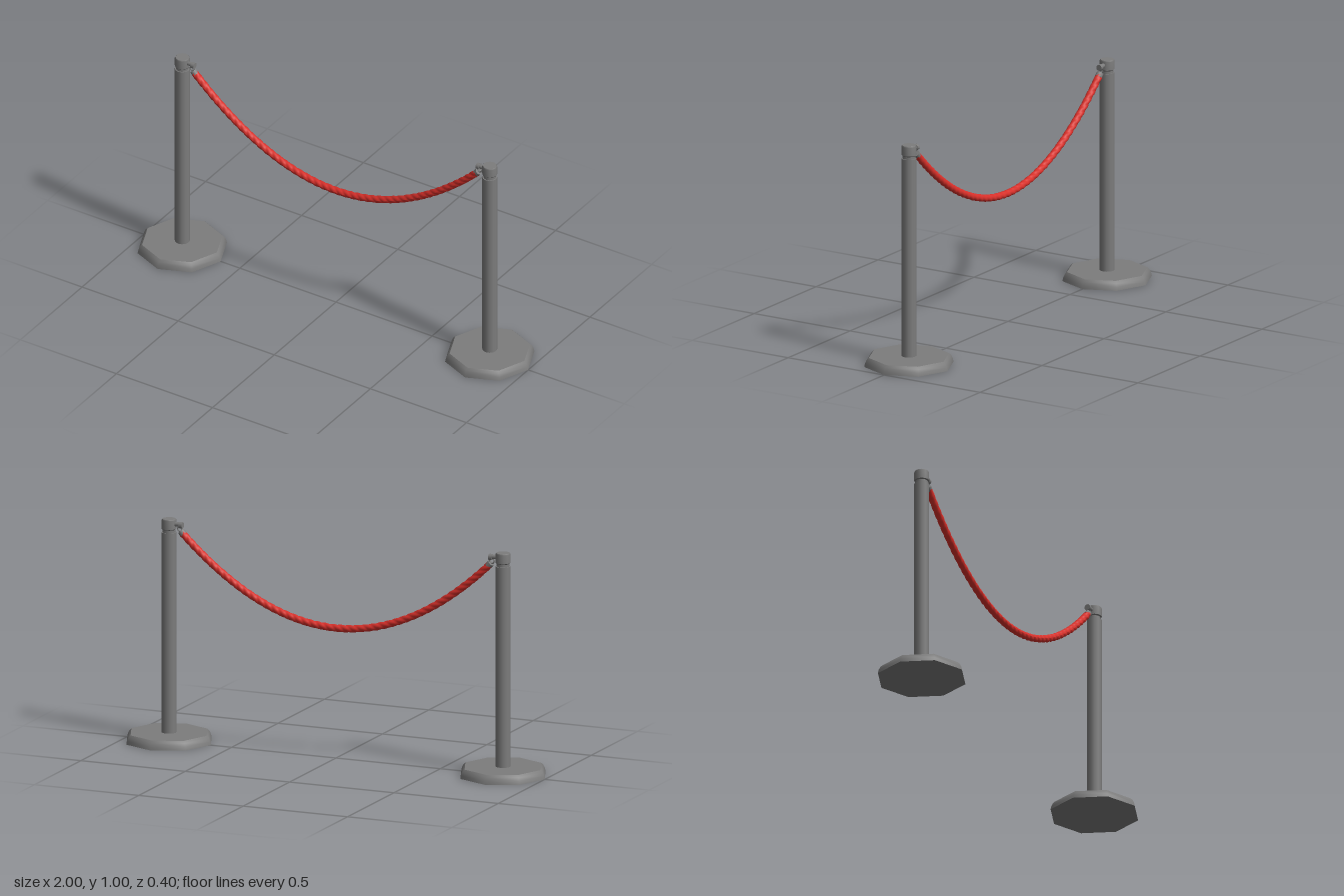
import * as THREE from 'three';

const metal = new THREE.MeshStandardMaterial({ color: 0x7c7c7c });
metal.name = 'grey metal';
const red = new THREE.MeshStandardMaterial({ color: 0xd8302a });
red.name = 'red rope';

function add(parent, name, geometry, material, x = 0, y = 0, rotZ = 0) {
  const mesh = new THREE.Mesh(geometry, material);
  mesh.name = name;
  mesh.position.set(x, y, 0);
  mesh.rotation.z = rotZ;
  parent.add(mesh);
  return mesh;
}

// Turned part; repeating a profile point keeps that edge sharp
function lathe(points, sides) {
  return new THREE.LatheGeometry(points.map(([r, y]) => new THREE.Vector2(r, y)), sides);
}

// One stanchion, with its arm pointing to +x
function stanchion() {
  const g = new THREE.Group();
  g.name = 'stanchion';
  add(g, 'base', lathe([[0, 0], [0.2, 0], [0.2, 0], [0.197, 0.015], [0.19, 0.03], [0.18, 0.04], [0.18, 0.04], [0, 0.04]], 8), metal);
  add(g, 'post', new THREE.CylinderGeometry(0.033, 0.033, 0.9, 12), metal, 0, 0.49);
  add(g, 'neck', new THREE.CylinderGeometry(0.028, 0.028, 0.014, 12), metal, 0, 0.946);
  add(g, 'cap', lathe([[0, 0.952], [0.029, 0.952], [0.033, 0.956], [0.033, 0.956], [0.033, 0.995], [0.03, 1], [0.03, 1], [0, 1]], 12), metal);
  // Arm, hook and rope ferrule
  add(g, 'arm', new THREE.CylinderGeometry(0.01, 0.01, 0.03, 10), metal, 0.04, 0.978, Math.PI / 2);
  add(g, 'armEnd', new THREE.CylinderGeometry(0.014, 0.014, 0.016, 10), metal, 0.058, 0.976, Math.PI / 2);
  add(g, 'hook', new THREE.TorusGeometry(0.011, 0.0035, 6, 14), metal, 0.053, 0.959);
  add(g, 'ferrule', new THREE.CylinderGeometry(0.016, 0.016, 0.02, 12), metal, 0.064, 0.942, Math.PI / 4);
  return g;
}

// Hanging rope with a three-strand twist
function ropeGeometry() {
  const half = 0.735, points = [];
  for (let i = 0; i <= 24; i++) {
    const x = -half + (2 * half * i) / 24;
    points.push(new THREE.Vector3(x, 0.585 + 0.355 * (x / half) ** 2, 0));
  }
  const curve = new THREE.CatmullRomCurve3(points);
  const rows = 320, sides = 15;
  const geo = new THREE.TubeGeometry(curve, rows, 0.016, sides);
  const pos = geo.attributes.position;
  const p = new THREE.Vector3();
  for (let i = 0; i <= rows; i++) {
    const centre = curve.getPointAt(i / rows);
    for (let j = 0; j <= sides; j++) {
      const k = i * (sides + 1) + j;
      const phase = 3 * (j / sides) * Math.PI * 2 + (i / rows) * Math.PI * 2 * 44;
      const scale = 0.88 + 0.16 * Math.abs(Math.cos(phase / 2));
      p.fromBufferAttribute(pos, k).sub(centre).multiplyScalar(scale).add(centre);
      pos.setXYZ(k, p.x, p.y, p.z);
    }
  }
  geo.computeVertexNormals();
  return geo;
}

export function createModel() {
  const model = new THREE.Group();
  model.name = 'ropeBarrier';
  for (const side of [-1, 1]) {
    const s = stanchion();
    s.name = side < 0 ? 'rightStanchion' : 'leftStanchion';
    s.position.x = side * 0.8;
    if (side > 0) s.rotation.y = Math.PI;
    model.add(s);
  }
  add(model, 'rope', ropeGeometry(), red);
  return model;
}
